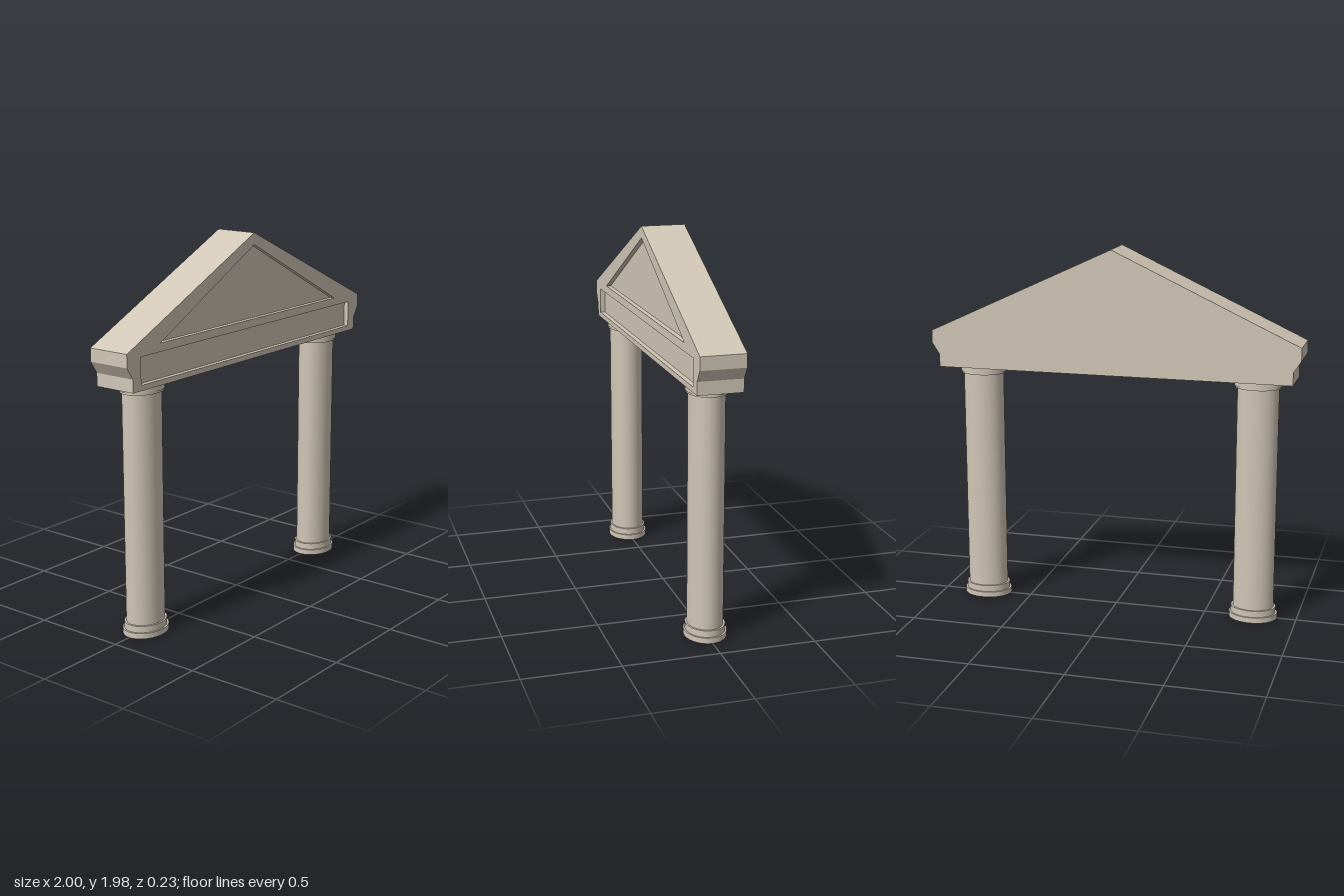
import * as THREE from 'three';

const stone = new THREE.MeshStandardMaterial({ color: 0xd0c6b6 });
stone.name = 'pale stone';

const DEPTH = 0.234, RECESS = 0.026;
const points = (list) => list.map(([x, y]) => new THREE.Vector2(x, y));

// Gable outline: right half, mirrored to the left
const half = [[0.96, 1.312], [0.96, 1.38], [1, 1.442], [1, 1.51]];
const outline = [...half, [0, 1.975], ...half.map(([x, y]) => [-x, y]).reverse()];

// Sunken panels on the front face
const panels = [
  [[-0.755, 1.523], [0, 1.913], [0.755, 1.523]],
  [[-0.9, 1.34], [-0.9, 1.48], [0.9, 1.48], [0.9, 1.34]],
];

function slab(name, depth, z, holes = []) {
  const shape = new THREE.Shape(points(outline));
  shape.holes = holes.map((h) => new THREE.Path(points(h)));
  const geometry = new THREE.ExtrudeGeometry(shape, { depth, bevelEnabled: false });
  geometry.translate(0, 0, z);
  const mesh = new THREE.Mesh(geometry, stone);
  mesh.name = name;
  return mesh;
}

// Oval column built from stacked drums: name, bottom radius, top radius, bottom y, top y
const drums = [
  ['plinth', 0.131, 0.131, 0, 0.03],
  ['baseRing', 0.121, 0.121, 0.03, 0.065],
  ['shaft', 0.11, 0.11, 0.065, 1.272],
  ['capitalRing', 0.121, 0.121, 1.272, 1.285],
  ['capital', 0.126, 0.126, 1.282, 1.312],
];

function column(name, x) {
  const group = new THREE.Group();
  group.name = name;
  for (const [part, r0, r1, y0, y1] of drums) {
    const mesh = new THREE.Mesh(new THREE.CylinderGeometry(r1, r0, y1 - y0, 40), stone);
    mesh.name = part;
    mesh.position.y = (y0 + y1) / 2;
    group.add(mesh);
  }
  group.position.x = x;
  group.scale.z = 0.83;
  return group;
}

export function createModel() {
  const model = new THREE.Group();
  model.name = 'portico';

  const pediment = new THREE.Group();
  pediment.name = 'pediment';
  pediment.add(
    slab('pedimentBody', DEPTH - RECESS, -DEPTH / 2),
    slab('pedimentFrame', RECESS, DEPTH / 2 - RECESS, panels),
  );

  model.add(pediment, column('rightColumn', -0.765), column('leftColumn', 0.75));
  return model;
}
